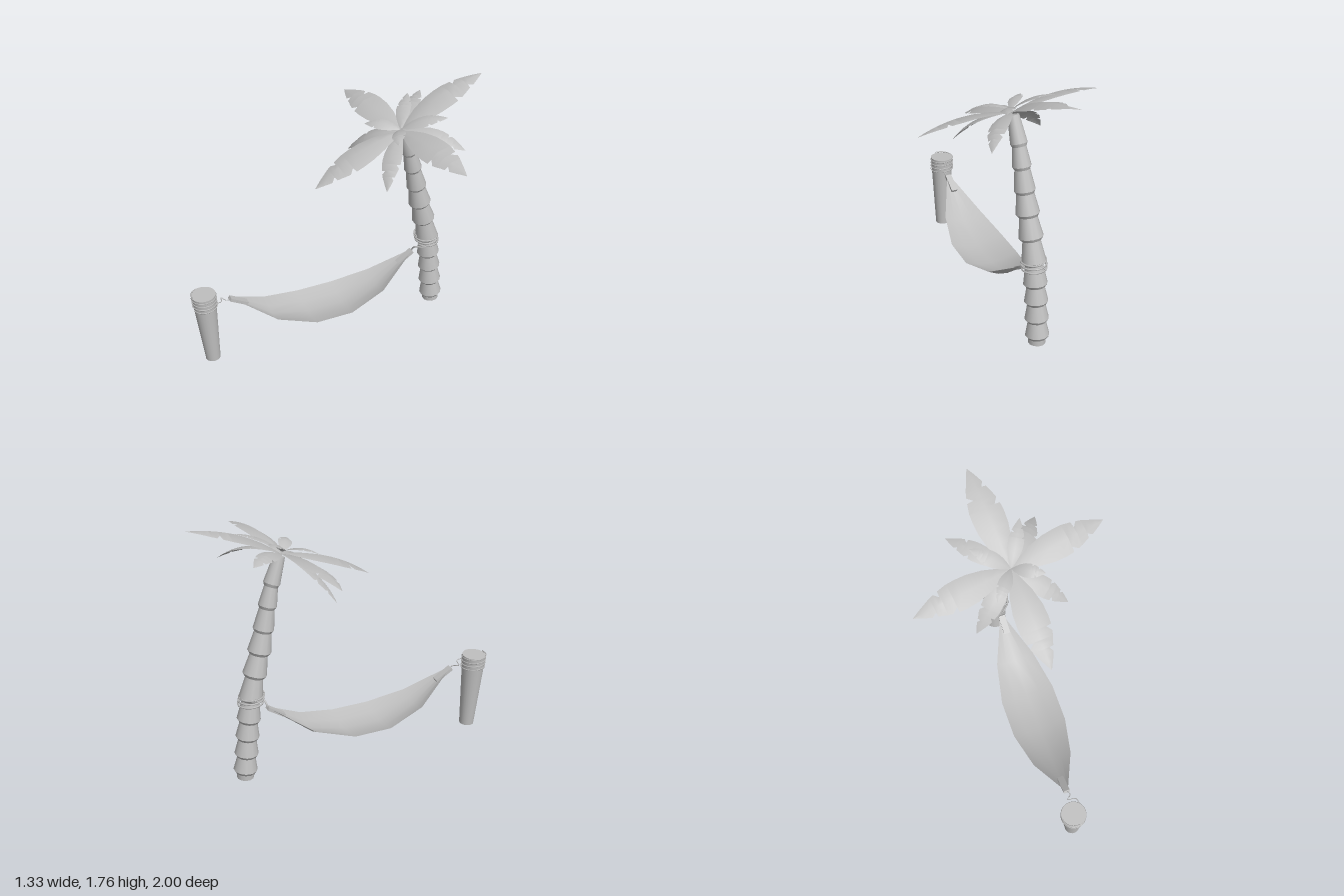
import * as THREE from 'three';

const V = (x, y, z) => new THREE.Vector3(x, y, z);
const gray = new THREE.MeshStandardMaterial({ color: 0xbfbfbf, side: THREE.DoubleSide });
gray.name = 'plain gray';
const UP = V(0, 1, 0);

function add(parent, name, geometry) {
  const mesh = new THREE.Mesh(geometry, gray);
  mesh.name = name;
  parent.add(mesh);
  return mesh;
}

// Tapered cylinder between two points
function rod(parent, name, a, b, ra, rb, sides) {
  const d = b.clone().sub(a);
  const mesh = add(parent, name, new THREE.CylinderGeometry(rb, ra, d.length(), sides));
  mesh.position.copy(a).addScaledVector(d, 0.5);
  mesh.quaternion.setFromUnitVectors(UP, d.normalize());
  return mesh;
}

function rope(parent, name, points, r = 0.004) {
  const curve = new THREE.CatmullRomCurve3(points);
  return add(parent, name, new THREE.TubeGeometry(curve, points.length * 5, r, 5));
}

// Coil of rope around a leaning axis
function coil(parent, name, base, axis, radius, pitch, turns, tube) {
  const points = [];
  for (let i = 0; i <= turns * 12; i++) {
    const a = (i / 12) * Math.PI * 2;
    points.push(base.clone().addScaledVector(axis, (i / 12) * pitch)
      .add(V(Math.sin(a) * radius, 0, Math.cos(a) * radius)));
  }
  rope(parent, name, points, tube);
}

// Grid surface from rows of points
function surface(rows) {
  const n = rows[0].length, index = [];
  for (let i = 0; i < rows.length - 1; i++)
    for (let j = 0; j < n - 1; j++) {
      const a = i * n + j, b = a + n;
      index.push(a, a + 1, b, a + 1, b + 1, b);
    }
  const g = new THREE.BufferGeometry().setFromPoints(rows.flat());
  g.setIndex(index);
  g.computeVertexNormals();
  return g;
}

// Half width along the leaf: [t, left, right], with torn notches
const LEAF = [
  [0, 0.06, 0.06], [0.12, 0.42, 0.4], [0.25, 0.75, 0.72], [0.4, 0.96, 0.95], [0.52, 1, 1],
  [0.6, 0.98, 0.97], [0.605, 0.98, 0.62], [0.66, 0.9, 0.9], [0.7, 0.84, 0.82], [0.705, 0.45, 0.82],
  [0.75, 0.76, 0.7], [0.79, 0.66, 0.62], [0.795, 0.66, 0.32], [0.84, 0.52, 0.52],
  [0.92, 0.28, 0.28], [1, 0.01, 0.01],
];
const crownNormal = V(0, 0.92, 0.39);

// Arched leaf with drooping halves
function frond(root, tip, width, arch, flip) {
  const d = tip.clone().sub(root);
  const side = d.clone().cross(crownNormal).normalize();
  const up = side.clone().cross(d).normalize();
  const rows = LEAF.map(([t, l, r]) => {
    const mid = root.clone().addScaledVector(d, t).addScaledVector(up, 4 * arch * t * (1 - t));
    const edge = (w, s) => mid.clone().addScaledVector(side, s * w * width / 2)
      .addScaledVector(up, -0.13 * w * width);
    return [edge(flip ? r : l, -1), mid, edge(flip ? l : r, 1)];
  });
  return surface(rows);
}

export function createModel() {
  const model = new THREE.Group();
  model.name = 'palmWithHammock';

  // Trunk: stacked flared segments along a leaning curve
  const trunk = new THREE.Group();
  trunk.name = 'trunk';
  model.add(trunk);
  const stations = [ // y, z, flare radius
    [0.06, -0.715, 0.079], [0.18, -0.703, 0.079], [0.305, -0.691, 0.078], [0.43, -0.677, 0.078],
    [0.58, -0.655, 0.079], [0.74, -0.62, 0.079], [0.89, -0.58, 0.077], [1.035, -0.545, 0.068],
    [1.185, -0.51, 0.06], [1.325, -0.475, 0.054], [1.49, -0.415, 0],
  ];
  rod(trunk, 'trunkFoot', V(0.012, 0, -0.717), V(0.01, 0.07, -0.714), 0.057, 0.057, 12);
  for (let i = 0; i < stations.length - 1; i++) {
    const [y, z, r] = stations[i], [y2, z2] = stations[i + 1];
    const a = V(0.01 - i * 0.001, y, z), b = V(0.009 - i * 0.001, y2, z2);
    const d = b.clone().sub(a).normalize();
    rod(trunk, 'trunkSegment', a, b, r, r * 0.68, 12);
    rod(trunk, 'trunkLip', a.clone().addScaledVector(d, -0.02), a, r * 0.82, r, 12);
  }

  // Crown: four large leaves, four middle leaves, four small upper leaves
  const crown = new THREE.Group();
  crown.name = 'crown';
  model.add(crown);
  const root = V(0, 1.5, -0.4);
  const leaves = [ // tip x, y, z, width, arch
    [0.66, 1.505, -0.365, 0.19, 0.05], [-0.665, 1.505, -0.445, 0.19, 0.05],
    [0.08, 1.76, -1.0, 0.21, 0.05], [-0.1, 1.245, 0.21, 0.21, 0.05],
    [0.34, 1.425, -0.65, 0.13, 0.06], [-0.24, 1.58, -0.757, 0.12, 0.04],
    [-0.36, 1.255, -0.245, 0.13, 0.05], [0.23, 1.27, -0.105, 0.13, 0.05],
    [0.205, 1.615, -0.61, 0.1, 0.03], [-0.17, 1.64, -0.59, 0.1, 0.03],
    [-0.19, 1.52, -0.25, 0.09, 0.03], [0.16, 1.52, -0.25, 0.09, 0.03],
  ];
  leaves.forEach(([x, y, z, w, arch], i) => {
    const name = i < 4 ? 'largeLeaf' : i < 8 ? 'middleLeaf' : 'smallLeaf';
    const start = root.clone().addScaledVector(crownNormal, i < 8 ? 0 : 0.015);
    add(crown, name, frond(start, V(x, y, z), w, arch, i % 2 === 1));
  });

  // Post
  const postBase = V(-0.38, 0.008, 0.897), postTop = V(-0.394, 0.55, 0.917);
  rod(model, 'post', postBase, postTop, 0.05, 0.081, 24);

  // Hammock cloth: sagging cross-sections between the two ends
  const from = V(-0.33, 0, 0.73), to = V(-0.025, 0, -0.53);
  const across = V(0.97, 0, 0.235);
  const sections = [ // edge y, middle y, width
    [0.468, 0.462, 0.035], [0.3, 0.257, 0.27], [0.23, 0.187, 0.38],
    [0.23, 0.187, 0.38], [0.3, 0.257, 0.27], [0.468, 0.462, 0.035],
  ];
  add(model, 'hammock', surface(sections.map(([ye, ym, w], i) =>
    [-1, -0.5, 0, 0.5, 1].map((s) => {
      const p = from.clone().lerp(to, i / 5).addScaledVector(across, s * w / 2);
      p.y = ym + (ye - ym) * s * s;
      return p;
    }))));

  // Wrapped bands at the hammock ends
  for (const [a, b] of [
    [V(-0.312, 0.405, 0.64), V(-0.337, 0.475, 0.755)],
    [V(-0.045, 0.4, -0.44), V(-0.02, 0.475, -0.548)],
  ]) {
    const d = b.clone().sub(a);
    const band = add(model, 'hammockBand', new THREE.BoxGeometry(0.044, 0.022, d.length()));
    band.position.copy(a).addScaledVector(d, 0.5);
    band.lookAt(b);
  }

  // Ropes: coils on post and trunk, with loose ends tied to the hammock
  coil(model, 'postRope', V(-0.391, 0.45, 0.913), V(-0.026, 1, 0.037), 0.081, 0.026, 4, 0.004);
  coil(model, 'trunkRope', V(0.006, 0.53, -0.662), V(0, 1, 0.2), 0.08, 0.024, 3, 0.006);
  rope(model, 'postTie', [V(-0.315, 0.5, 0.87), V(-0.318, 0.497, 0.83), V(-0.365, 0.488, 0.805),
    V(-0.33, 0.478, 0.785), V(-0.335, 0.472, 0.75)], 0.003);
  rope(model, 'trunkTie', [V(0.08, 0.56, -0.65), V(0.06, 0.53, -0.59), V(0.01, 0.52, -0.555),
    V(-0.015, 0.495, -0.55), V(-0.02, 0.465, -0.545)], 0.006);

  return model;
}
